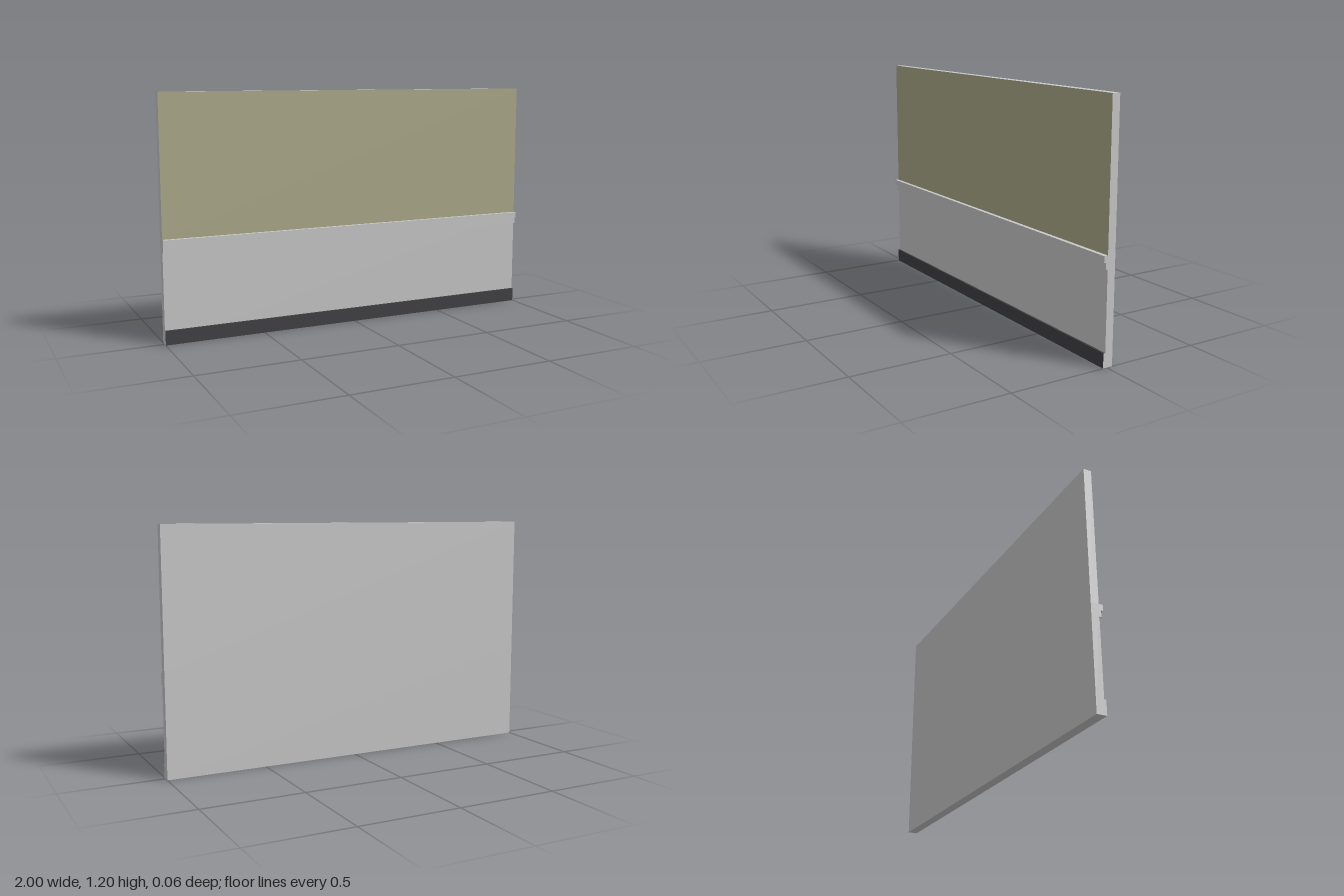
import * as THREE from 'three';

export function createModel() {
  const model = new THREE.Group();
  const material = (name, color) => {
    const m = new THREE.MeshStandardMaterial({ color });
    m.name = name;
    return m;
  };
  const grey = material('light grey', 0xc8c8c8);
  const olive = material('olive paint', 0xabaa8a);
  const dark = material('charcoal', 0x414144);

  // Full-width slab between two heights and two depths; faces: right, left, top, bottom, front, back
  const slab = (name, y0, y1, z0, z1, front = grey, top = grey) => {
    const geometry = new THREE.BoxGeometry(2, y1 - y0, z1 - z0);
    const mesh = new THREE.Mesh(geometry, [grey, grey, top, grey, front, grey]);
    mesh.position.set(0, (y0 + y1) / 2, (z0 + z1) / 2);
    mesh.name = name;
    model.add(mesh);
  };

  // Wall panel, painted on the upper front
  slab('lowerWall', 0, 0.51, -0.03, 0.01);
  slab('upperWall', 0.51, 1.2, -0.03, 0.01, olive);

  // Stepped chair rail
  slab('railLowerStep', 0.448, 0.48, 0.01, 0.02);
  slab('railUpperStep', 0.48, 0.51, 0.01, 0.03);

  // Skirting board with a dark front
  slab('skirtingBoard', 0, 0.07, 0.01, 0.02, dark, dark);

  return model;
}
